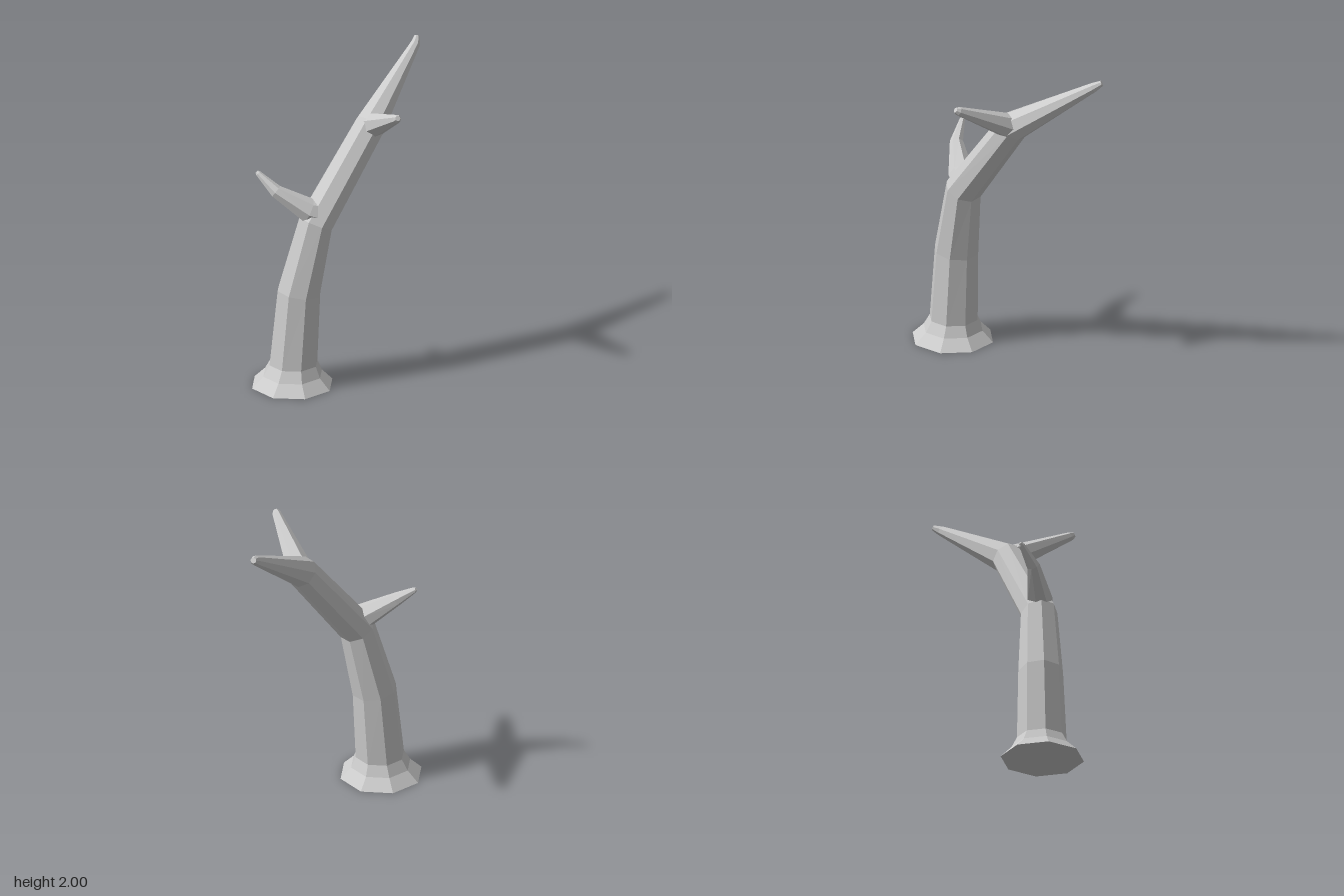
import * as THREE from 'three';

// Lofts a faceted limb through stations [x, y, z, radius], rings square to the path.
function limb(name, stations, sides, upright = 0) {
  const centres = stations.map(([x, y, z]) => new THREE.Vector3(x, y, z));
  const last = centres.length - 1;
  const step = (i) => centres[i + 1].clone().sub(centres[i]).normalize();
  const turn = new THREE.Quaternion();
  let heading = new THREE.Vector3(0, 1, 0);
  const positions = [];
  const index = [];

  stations.forEach((s, i) => {
    // each ring bisects the bend between its two neighbours
    const next = new THREE.Vector3(0, 1, 0);
    if (i >= upright) {
      next.set(0, 0, 0);
      if (i > 0) next.add(step(i - 1));
      if (i < last) next.add(step(i));
      next.normalize();
    }
    turn.premultiply(new THREE.Quaternion().setFromUnitVectors(heading, next));
    heading = next;
    for (let k = 0; k < sides; k++) {
      const a = ((k + 0.5) / sides) * Math.PI * 2;
      const p = new THREE.Vector3(Math.cos(a) * s[3], 0, Math.sin(a) * s[3]);
      positions.push(...p.applyQuaternion(turn).add(centres[i]).toArray());
    }
  });

  // side walls
  for (let i = 0; i < last; i++) {
    for (let k = 0; k < sides; k++) {
      const a = i * sides + k;
      const b = i * sides + ((k + 1) % sides);
      index.push(a, a + sides, b, b, a + sides, b + sides);
    }
  }
  // end caps
  const top = last * sides;
  for (let k = 1; k < sides - 1; k++) {
    index.push(0, k, k + 1, top, top + k + 1, top + k);
  }

  const geometry = new THREE.BufferGeometry();
  geometry.setAttribute('position', new THREE.Float32BufferAttribute(positions, 3));
  geometry.setIndex(index);
  const flat = geometry.toNonIndexed();
  flat.computeVertexNormals();
  const mesh = new THREE.Mesh(
    flat,
    new THREE.MeshStandardMaterial({ color: 0xcccccc, flatShading: true })
  );
  mesh.name = name;
  return mesh;
}

export function createModel() {
  const tree = new THREE.Group();
  tree.name = 'bareTree';

  // flared root, leaning trunk and its long top limb
  tree.add(limb('trunk', [
    [-0.237, 0, 0.32, 0.26],
    [-0.235, 0.07, 0.318, 0.19],
    [-0.23, 0.14, 0.315, 0.155],
    [-0.197, 0.61, 0.3, 0.14],
    [-0.095, 1.06, 0.265, 0.115],
    [0.22, 1.61, -0.015, 0.1],
    [0.457, 1.955, -0.49, 0.032],
    [0.464, 1.985, -0.543, 0.018],
  ], 8, 3));

  // forward fork near the top
  tree.add(limb('forkBranch', [
    [0.215, 1.595, -0.04, 0.075],
    [0.24, 1.62, 0.015, 0.08],
    [0.412, 1.806, 0.34, 0.028],
    [0.42, 1.818, 0.36, 0.017],
  ], 7));

  // short crooked side branch
  tree.add(limb('sideBranch', [
    [-0.07, 1.12, 0.26, 0.085],
    [-0.14, 1.145, 0.278, 0.08],
    [-0.34, 1.272, 0.288, 0.042],
    [-0.452, 1.368, 0.243, 0.018],
    [-0.464, 1.378, 0.237, 0.01],
  ], 7));

  return tree;
}
